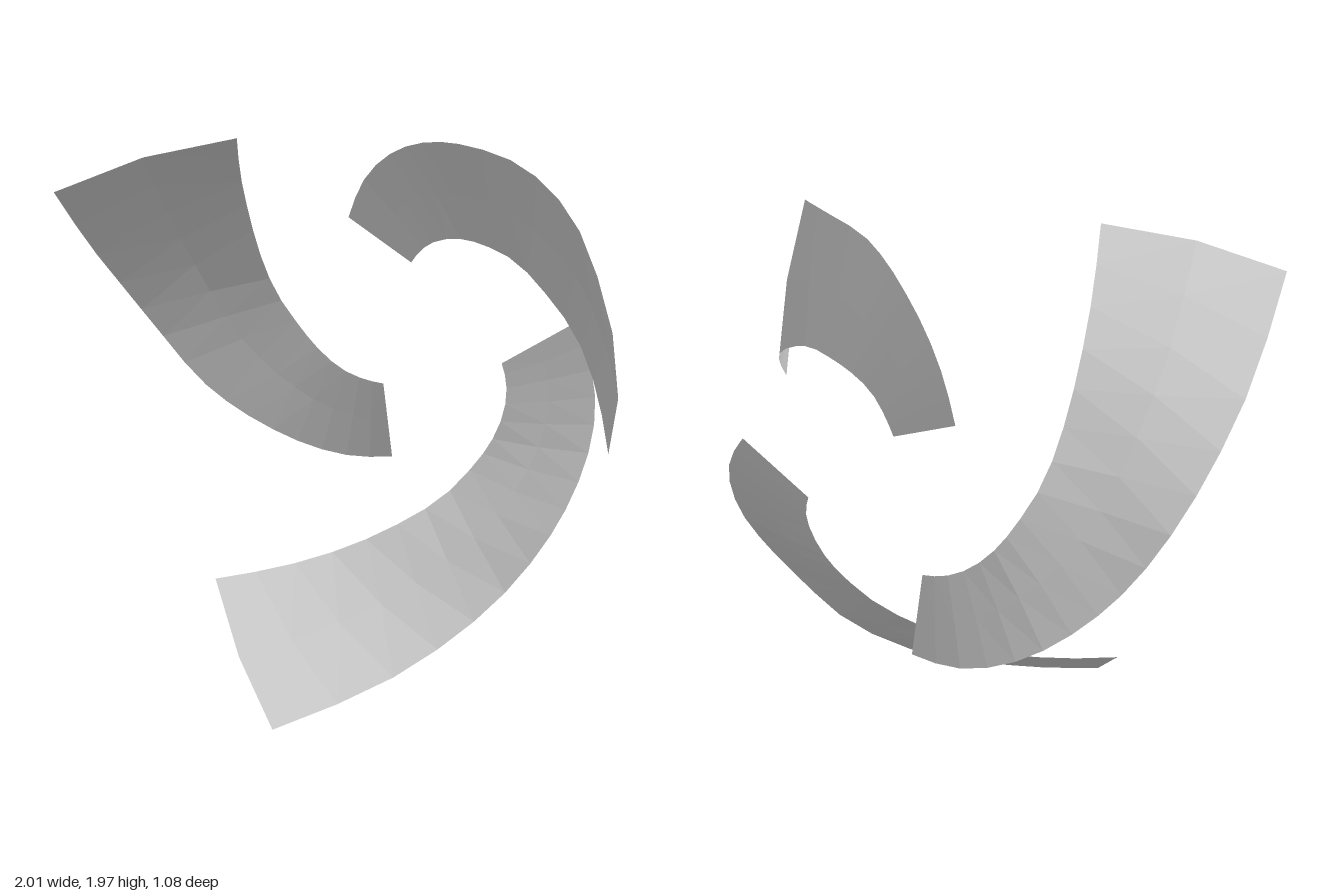
import * as THREE from 'three';

const HUB = new THREE.Vector3(-0.043, 1.131, 0); // axis of the threefold symmetry

// The two long edges of one blade, from its inner end to its outer end
const OUTER_EDGE = [
  [-0.39, 1.53, -0.535], [-0.33, 1.66, -0.51], [-0.23, 1.77, -0.46], [-0.1, 1.85, -0.39],
  [0.05, 1.9, -0.3], [0.2, 1.92, -0.215], [0.4, 1.91, -0.12], [0.6, 1.86, 0.025],
  [0.8, 1.76, 0.24], [1.0, 1.58, 0.54],
];
const INNER_EDGE = [
  [-0.125, 1.4, -0.5], [-0.08, 1.455, -0.485], [-0.005, 1.505, -0.455], [0.1, 1.532, -0.42],
  [0.2, 1.533, -0.38], [0.35, 1.51, -0.305], [0.5, 1.44, -0.21], [0.65, 1.34, -0.105],
  [0.78, 1.21, 0.04], [0.885, 1.06, 0.205],
];

const edgeCurve = (points) =>
  new THREE.CatmullRomCurve3(points.map((p) => new THREE.Vector3(...p).sub(HUB)));

// Curved ribbon lofted between the edges, with a slightly bowed centre line
function bladeGeometry() {
  const outer = edgeCurve(OUTER_EDGE);
  const inner = edgeCurve(INNER_EDGE);
  const steps = 15;
  const position = [];
  const index = [];
  for (let i = 0; i <= steps; i++) {
    const t = i / steps;
    const a = outer.getPoint(t);
    const b = inner.getPoint(t);
    const mid = a.clone().lerp(b, 0.5).add(new THREE.Vector3(0.026, -0.006, 0).multiplyScalar(t));
    for (const p of [a, mid, b]) position.push(p.x, p.y, p.z);
    if (i === steps) break;
    for (let j = 0; j < 2; j++) {
      const k = i * 3 + j;
      index.push(k, k + 1, k + 3, k + 1, k + 4, k + 3);
    }
  }
  const geometry = new THREE.BufferGeometry();
  geometry.setAttribute('position', new THREE.Float32BufferAttribute(position, 3));
  geometry.setIndex(index);
  geometry.computeVertexNormals();
  return geometry;
}

export function createModel() {
  const grey = new THREE.MeshStandardMaterial({
    name: 'light grey', color: 0xcccccc, side: THREE.DoubleSide, flatShading: true,
  });
  const model = new THREE.Group();
  model.name = 'threeBladeSwirl';

  // Three equal blades around the front-to-back axis
  const geometry = bladeGeometry();
  ['upperBlade', 'sideBlade', 'lowerBlade'].forEach((name, i) => {
    const blade = new THREE.Mesh(geometry, grey);
    blade.name = name;
    blade.position.copy(HUB);
    blade.rotation.z = (i * Math.PI * 2) / 3;
    model.add(blade);
  });
  return model;
}
